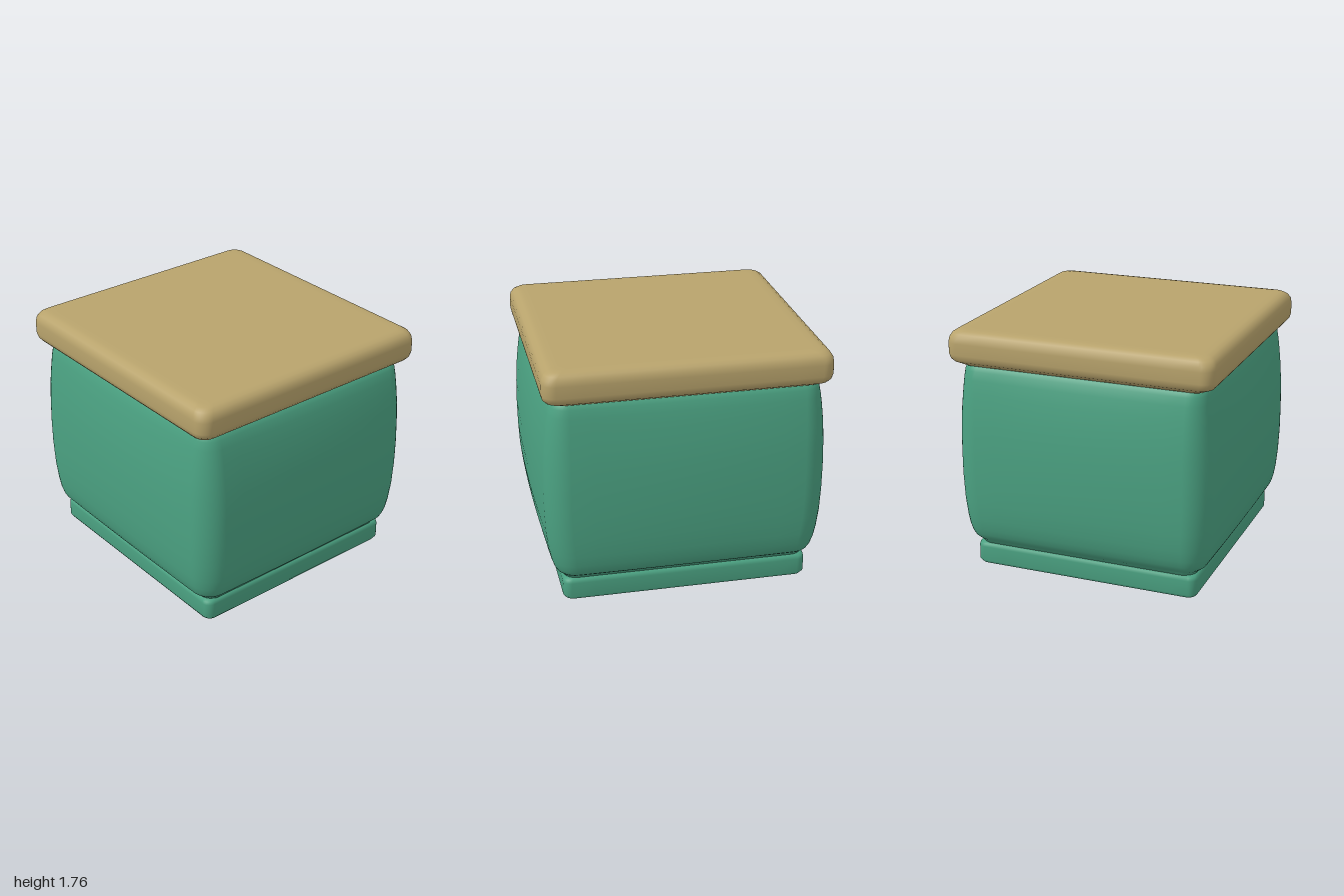
import * as THREE from 'three';

const CORNER = 8, EDGE = 10;

// Rounded rectangle outline whose sides bow outwards by `bow`, seen from above
function outline(hx, hz, r, bow) {
  const ix = hx - bow, iz = hz - bow;
  const c = [];
  for (let k = 0; k < 4; k++) {
    const sx = k === 0 || k === 3 ? 1 : -1, sz = k < 2 ? 1 : -1;
    for (let i = 0; i <= CORNER; i++) {
      const a = (k + i / CORNER) * Math.PI / 2;
      c.push([sx * (ix - r) + r * Math.cos(a), sz * (iz - r) + r * Math.sin(a)]);
    }
  }
  const pts = [];
  c.forEach((p, i) => {
    pts.push(p);
    if (i % (CORNER + 1) === CORNER) {
      const q = c[(i + 1) % c.length];
      for (let j = 1; j < EDGE; j++) {
        const t = j / EDGE;
        pts.push([p[0] + (q[0] - p[0]) * t, p[1] + (q[1] - p[1]) * t]);
      }
    }
  });
  return pts.map(([x, z]) => [
    x + bow * (x / ix) * (1 - (z / iz) ** 2),
    z + bow * (z / iz) * (1 - (x / ix) ** 2),
  ]);
}

// Smooth closed loft through sections [y, halfX, halfZ, cornerRadius, bow]
function loft(sections) {
  const pos = [], idx = [];
  const rings = sections.map(([y, hx, hz, r, bow]) =>
    outline(hx, hz, r, bow).map(([x, z]) => [x, y, z]));
  const n = rings[0].length;
  rings.forEach(ring => ring.forEach(p => pos.push(...p)));
  for (let s = 0; s < rings.length - 1; s++) {
    for (let i = 0; i < n; i++) {
      const a = s * n + i, b = s * n + (i + 1) % n;
      idx.push(a, a + n, b, b, a + n, b + n);
    }
  }
  const last = (rings.length - 1) * n, bottom = pos.length / 3;
  pos.push(0, sections[0][0], 0, 0, sections[sections.length - 1][0], 0);
  for (let i = 0; i < n; i++) {
    const j = (i + 1) % n;
    idx.push(bottom, i, j, bottom + 1, last + j, last + i);
  }
  const g = new THREE.BufferGeometry();
  g.setAttribute('position', new THREE.Float32BufferAttribute(pos, 3));
  g.setIndex(idx);
  g.computeVertexNormals();
  return g;
}

export function createModel() {
  const model = new THREE.Group();
  const green = new THREE.MeshStandardMaterial({ color: 0x4ba282 });
  green.name = 'green glaze';
  const tan = new THREE.MeshStandardMaterial({ color: 0xb8a36c });
  tan.name = 'tan lid';

  const add = (name, sections, material) => {
    const mesh = new THREE.Mesh(loft(sections), material);
    mesh.name = name;
    model.add(mesh);
  };

  // Square foot with softened edges
  add('foot', [
    [0.005, 0.72, 0.77, 0.03, 0], [0.005, 0.75, 0.80, 0.04, 0],
    [0.01, 0.785, 0.83, 0.05, 0], [0.022, 0.81, 0.855, 0.06, 0],
    [0.045, 0.825, 0.87, 0.06, 0], [0.15, 0.825, 0.87, 0.06, 0],
    [0.172, 0.82, 0.865, 0.06, 0], [0.185, 0.805, 0.85, 0.06, 0],
    [0.19, 0.77, 0.82, 0.05, 0],
  ], green);

  // Bulging body, narrowing to a neck at both ends
  add('body', [
    [0.17, 0.80, 0.85, 0.08, 0], [0.20, 0.81, 0.86, 0.09, 0],
    [0.218, 0.84, 0.885, 0.11, 0.003], [0.24, 0.872, 0.91, 0.13, 0.008],
    [0.27, 0.89, 0.93, 0.14, 0.012], [0.32, 0.907, 0.95, 0.15, 0.016],
    [0.40, 0.922, 0.97, 0.16, 0.02], [0.53, 0.935, 0.987, 0.16, 0.024],
    [0.70, 0.943, 0.997, 0.16, 0.027], [0.88, 0.944, 1.0, 0.16, 0.028],
    [1.05, 0.94, 0.996, 0.16, 0.027], [1.20, 0.928, 0.984, 0.15, 0.023],
    [1.33, 0.912, 0.966, 0.14, 0.018], [1.42, 0.897, 0.948, 0.13, 0.012],
    [1.48, 0.882, 0.93, 0.12, 0.006], [1.505, 0.868, 0.912, 0.11, 0.002],
    [1.53, 0.85, 0.89, 0.10, 0],
  ], green);

  // Cushion-edged lid overhanging the neck
  add('lid', [
    [1.508, 0.82, 0.86, 0.06, 0], [1.512, 0.865, 0.905, 0.07, 0],
    [1.53, 0.90, 0.932, 0.08, 0], [1.546, 0.93, 0.96, 0.085, 0],
    [1.567, 0.947, 0.977, 0.09, 0], [1.60, 0.955, 0.985, 0.09, 0],
    [1.68, 0.955, 0.985, 0.09, 0], [1.715, 0.949, 0.979, 0.09, 0],
    [1.742, 0.932, 0.962, 0.085, 0], [1.76, 0.905, 0.935, 0.08, 0],
    [1.766, 0.87, 0.90, 0.07, 0], [1.767, 0.82, 0.85, 0.06, 0],
  ], tan);

  return model;
}
